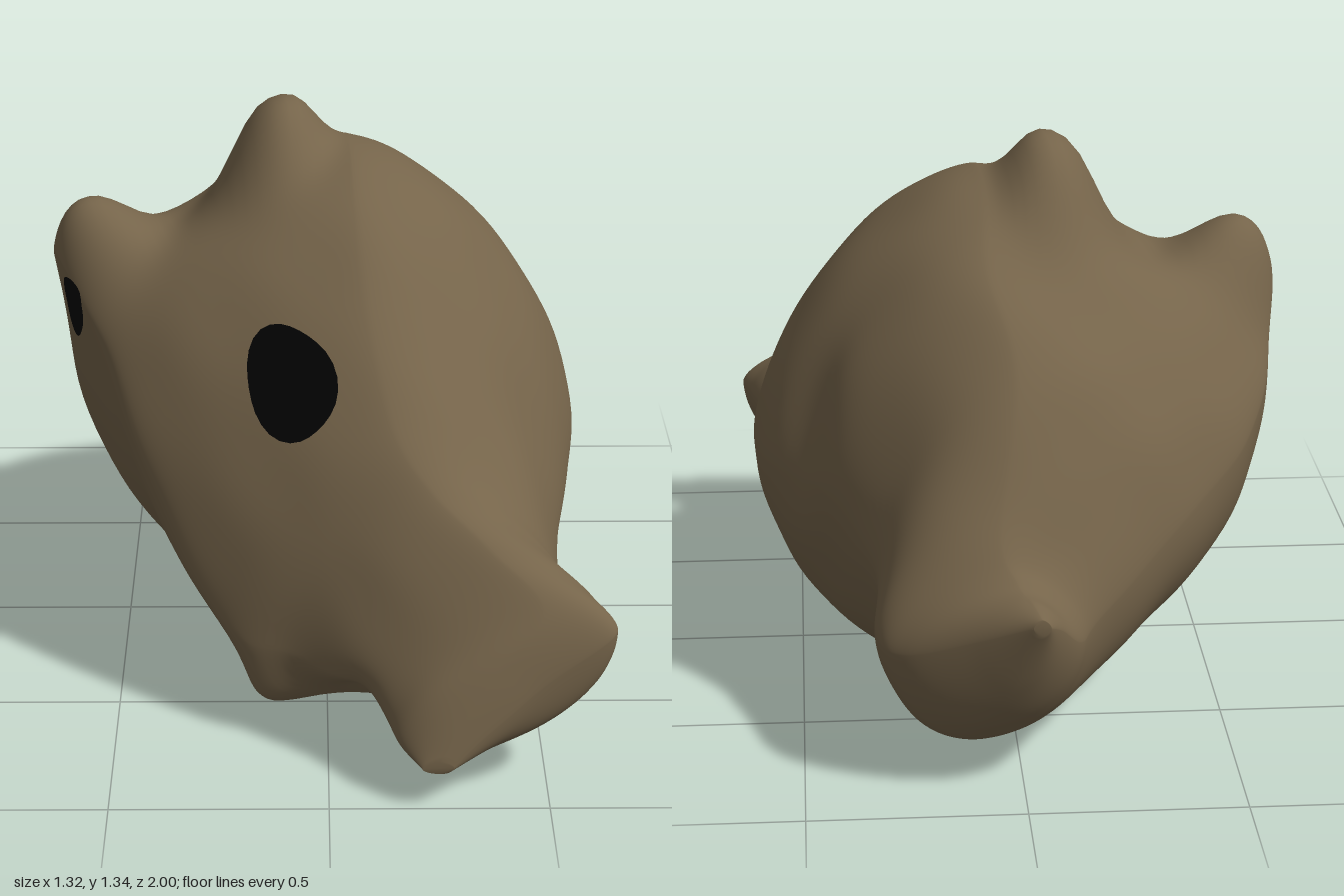
import * as THREE from 'three';

// Cross-sections along z: [z, leftX, leftY, rightX, rightY, topX, topY, bottomX, bottomY]
const SECTIONS = [
  [-1.0, -0.05, 0.45, -0.01, 0.45, -0.03, 0.47, -0.03, 0.43],
  [-0.95, -0.08, 0.42, 0.11, 0.4, -0.01, 0.49, 0.03, 0.28],
  [-0.88, -0.13, 0.36, 0.27, 0.34, 0.02, 0.51, 0.1, 0.15],
  [-0.8, -0.18, 0.38, 0.33, 0.36, 0.05, 0.6, 0.1, 0.09],
  [-0.6, -0.39, 0.53, 0.33, 0.45, 0.0, 0.9, 0.06, 0.09],
  [-0.4, -0.56, 0.64, 0.45, 0.55, 0.05, 1.08, 0.1, 0.06],
  [-0.2, -0.64, 0.78, 0.58, 0.55, 0.05, 1.2, 0.1, 0.01],
  [0.0, -0.635, 0.89, 0.61, 0.55, 0.06, 1.23, 0.1, 0.0],
  [0.2, -0.53, 0.8, 0.59, 0.48, 0.07, 1.16, 0.1, 0.04],
  [0.4, -0.42, 0.55, 0.55, 0.4, 0.09, 0.99, 0.1, 0.08],
  [0.6, -0.24, 0.27, 0.555, 0.32, 0.15, 0.76, 0.15, 0.09],
  [0.7, -0.08, 0.24, 0.58, 0.34, 0.24, 0.64, 0.2, 0.1],
  [0.8, 0.03, 0.2, 0.63, 0.37, 0.36, 0.55, 0.25, 0.1],
  [0.89, 0.12, 0.17, 0.64, 0.37, 0.48, 0.44, 0.25, 0.09],
  [0.95, 0.16, 0.14, 0.45, 0.25, 0.36, 0.3, 0.25, 0.09],
  [1.0, 0.21, 0.1, 0.28, 0.105, 0.25, 0.12, 0.25, 0.09],
];

// Local swellings and dents: centre, radii, push, and how flat-topped they are
const BUMPS = [
  { at: [-0.125, 1.2, -0.11], r: [0.115, 0.25, 0.18], push: [0, 0.16, 0], flat: 1.4 }, // upper ear
  { at: [-0.6, 0.99, -0.04], r: [0.15, 0.13, 0.16], push: [-0.05, 0.15, 0], flat: 1.3 }, // side ear
  { at: [-0.36, 1.08, -0.05], r: [0.11, 0.12, 0.2], push: [0, -0.045, 0], flat: 1 }, // dip between ears
  { at: [-0.1, 0.12, 0.62], r: [0.1, 0.1, 0.08], push: [-0.05, -0.05, 0.03], flat: 1 }, // jaw corner
  { at: [0.1, 0.12, 0.79], r: [0.09, 0.09, 0.08], push: [0.04, 0.07, -0.05], flat: 1 }, // mouth dent
  { at: [0.52, 0.75, -0.3], r: [0.15, 0.25, 0.07], push: [-0.025, -0.02, 0], flat: 1 }, // side fold
];

// Smooth interpolation between neighbouring sections
function sectionAt(t) {
  const last = SECTIONS.length - 1;
  const i = Math.min(Math.floor(t), last - 1), f = t - i;
  const [a, b, c, d] = [i - 1, i, i + 1, i + 2].map(
    (k) => SECTIONS[Math.min(Math.max(k, 0), last)]);
  return b.map((v, k) => v + 0.5 * f * (c[k] - a[k] +
    f * (2 * a[k] - 5 * v + 4 * c[k] - d[k] + f * (3 * (v - c[k]) + d[k] - a[k]))));
}

// Four blended quarter curves make one outline point
function outlinePoint(s, angle) {
  const [z, lx, ly, rx, ry, tx, ty, bx, by] = s;
  const c = Math.cos(angle), n = Math.sin(angle);
  const right = c >= 0, up = n >= 0;
  const mid = Math.exp(-((z / 0.25) ** 2));
  const brow = 1.55 - 0.33 * mid; // flatter between the ears
  const cheek = 1.9 + 0.25 * mid; // fuller below the side ear
  const e = up ? (right ? 1.6 : brow) : (right ? 1.9 : cheek);
  const u = Math.abs(c) ** (2 / e), v = Math.abs(n) ** (2 / e);
  const sx = right ? rx : lx, sy = right ? ry : ly;
  const ex = up ? tx : bx, ey = up ? ty : by;
  return new THREE.Vector3(ex + (sx - ex) * u, sy + (ey - sy) * v, z);
}

function sculpt(p) {
  const q = p.clone();
  for (const { at, r, push, flat } of BUMPS) {
    const d = ((p.x - at[0]) / r[0]) ** 2 + ((p.y - at[1]) / r[1]) ** 2 + ((p.z - at[2]) / r[2]) ** 2;
    q.addScaledVector(new THREE.Vector3(...push), Math.exp(-(d ** flat)));
  }
  // faint surface lumps
  const lump = 0.005 * Math.sin(17 * p.x + 5 * p.y) * Math.sin(15 * p.y + 4 * p.z) * Math.sin(14 * p.z);
  const out = new THREE.Vector3(p.x, p.y - 0.5, 0).normalize();
  return q.addScaledVector(out, lump);
}

function skinGeometry(rings = 150, sides = 128) {
  const pos = [], index = [];
  for (let i = 0; i <= rings; i++) {
    const s = sectionAt((i / rings) * (SECTIONS.length - 1));
    for (let j = 0; j < sides; j++) {
      pos.push(...sculpt(outlinePoint(s, (j / sides) * Math.PI * 2)).toArray());
    }
  }
  for (let i = 0; i < rings; i++) {
    for (let j = 0; j < sides; j++) {
      const k = (j + 1) % sides;
      const a = i * sides + j, b = i * sides + k;
      index.push(a, b, b + sides, a, b + sides, a + sides);
    }
  }
  // end caps
  const end = rings * sides;
  for (let j = 1; j < sides - 1; j++) {
    index.push(0, j + 1, j, end, end + j, end + j + 1);
  }
  const g = new THREE.BufferGeometry();
  g.setAttribute('position', new THREE.Float32BufferAttribute(pos, 3));
  g.setIndex(index);
  g.computeVertexNormals();
  return g;
}

// Thin disc draped on the skin, projected inward from one side
function drapedEye(skin, centre, rx, ry, facing) {
  const g = new THREE.RingGeometry(0.001, 1, 28, 5);
  const p = g.attributes.position;
  const dir = facing.clone().negate();
  const side = new THREE.Vector3(0, 1, 0).cross(facing).normalize();
  const ray = new THREE.Raycaster();
  for (let i = 0; i < p.count; i++) {
    const x = p.getX(i), y = p.getY(i);
    const wobble = 1 + 0.06 * Math.sin(3 * Math.atan2(y, x) + 1);
    const origin = centre.clone().addScaledVector(side, x * rx * wobble).addScaledVector(facing, 2);
    origin.y += y * ry * wobble;
    ray.set(origin, dir);
    const hit = ray.intersectObject(skin)[0];
    const point = hit ? hit.point.addScaledVector(hit.face.normal, 0.004) : origin.addScaledVector(dir, 2);
    p.setXYZ(i, point.x, point.y, point.z);
  }
  g.computeVertexNormals();
  return g;
}

export function createModel() {
  const group = new THREE.Group();
  group.name = 'animalHead';
  const hide = new THREE.MeshStandardMaterial({ color: 0x75644a });
  hide.name = 'brownHide';
  const dark = new THREE.MeshStandardMaterial({ color: 0x030303, side: THREE.DoubleSide });
  dark.name = 'blackEye';

  const head = new THREE.Mesh(skinGeometry(), hide);
  head.name = 'head';
  group.add(head);

  const eyes = [
    ['frontEye', new THREE.Vector3(-0.085, 0.82, 0.46), 0.105, 0.115, new THREE.Vector3(0, 0, 1)],
    ['sideEye', new THREE.Vector3(-0.6, 0.855, 0.07), 0.04, 0.075, new THREE.Vector3(-1, 0, 0)],
  ];
  for (const [name, centre, rx, ry, facing] of eyes) {
    const eye = new THREE.Mesh(drapedEye(head, centre, rx, ry, facing), dark);
    eye.name = name;
    group.add(eye);
  }
  return group;
}
